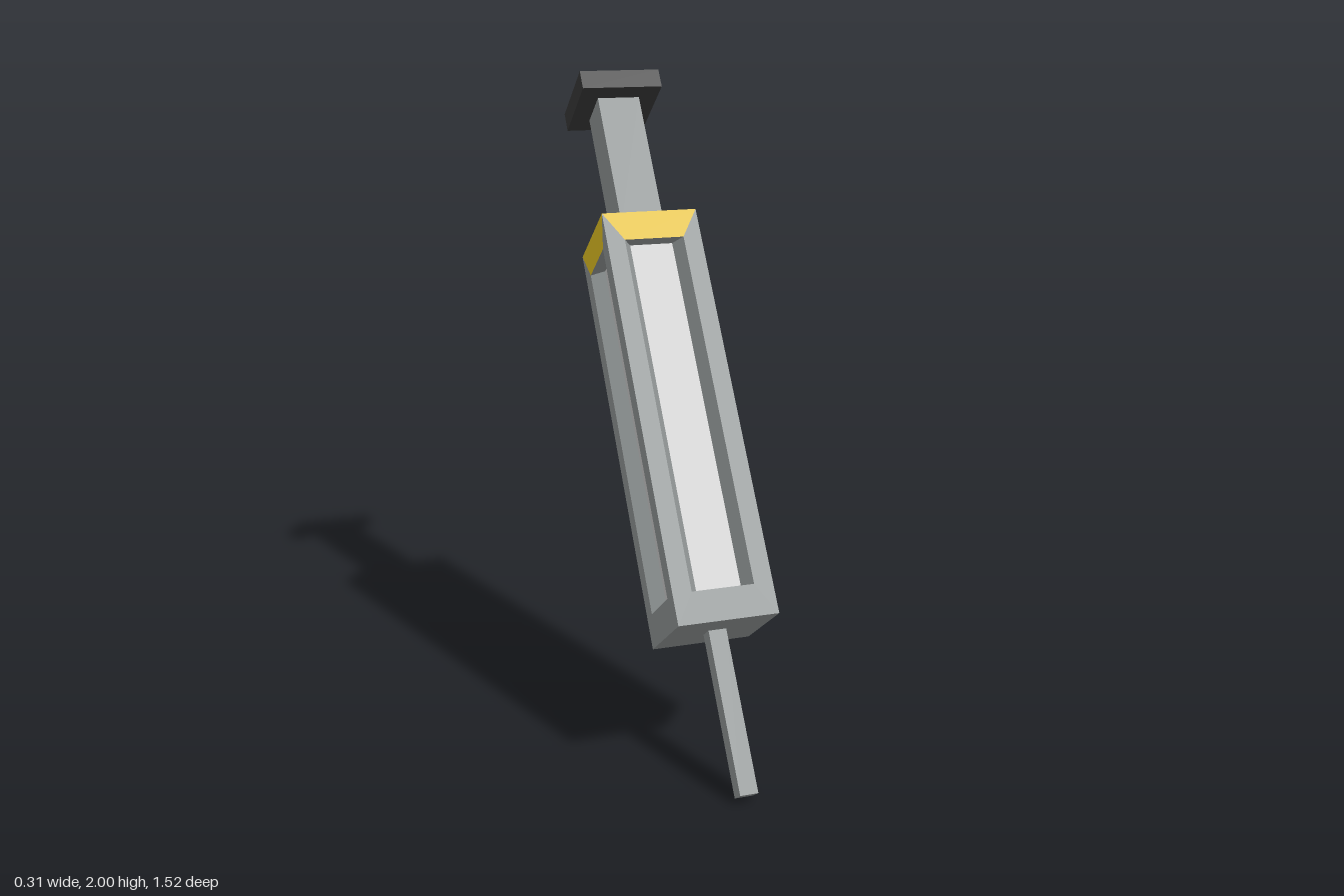
import * as THREE from 'three';

const material = (color) => new THREE.MeshStandardMaterial({ color, flatShading: true });

// Flat-shaded geometry from a list of quads, corners counter-clockwise
function quads(list) {
  const pos = [];
  for (const [a, b, c, d] of list) pos.push(...a, ...b, ...c, ...a, ...c, ...d);
  const g = new THREE.BufferGeometry();
  g.setAttribute('position', new THREE.Float32BufferAttribute(pos, 3));
  g.computeVertexNormals();
  return g;
}

// Rectangle loop on a side face: lower left, lower right, upper right, upper left
const loop = (half, y0, y1, z) => [[-half, y0, z], [half, y0, z], [half, y1, z], [-half, y1, z]];

// The four quads between an outer and an inner loop: bottom, right, top, left
const ring = (o, i) => o.map((p, k) => [p, o[(k + 1) % 4], i[(k + 1) % 4], i[k]]);

export function createModel() {
  const model = new THREE.Group();
  const syringe = new THREE.Group();
  syringe.name = 'syringe';
  model.add(syringe);

  const steel = material(0x8f9494);
  const glass = material(0xc8c8c8);
  const yellow = material(0xe3c023);
  const black = material(0x383838);

  const add = (parent, name, geometry, mat) => {
    const mesh = new THREE.Mesh(geometry, mat);
    mesh.name = name;
    parent.add(mesh);
    return mesh;
  };
  const bar = (name, width, y0, y1, mat) => {
    add(syringe, name, new THREE.BoxGeometry(width, y1 - y0, width), mat).position.y = (y0 + y1) / 2;
  };

  // Square barrel: four framed sides, each with a recessed window
  const H = 0.156, L = 1.334, margin = 0.096, depth = 0.043;
  const outer = loop(H, 0, L, H);
  const opening = loop(0.097, margin, L - margin, H);
  const pane = loop(0.07, margin, L - margin, H - depth);
  const [bottom, right, top, left] = ring(outer, opening);
  const frameGeo = quads([bottom, right, left, ...ring(opening, pane)]);
  const bandGeo = quads([top]);
  const paneGeo = quads([pane]);

  const barrel = new THREE.Group();
  barrel.name = 'barrel';
  syringe.add(barrel);
  for (let k = 0; k < 4; k++) {
    const side = new THREE.Group();
    side.name = 'barrelSide';
    side.rotation.y = k * Math.PI / 2;
    add(side, 'frame', frameGeo, steel);
    add(side, 'topBand', bandGeo, yellow);
    add(side, 'windowPane', paneGeo, glass);
    barrel.add(side);
  }
  // Barrel ends
  add(barrel, 'barrelEnds', quads([
    [[-H, L, H], [H, L, H], [H, L, -H], [-H, L, -H]],
    [[-H, 0, -H], [H, 0, -H], [H, 0, H], [-H, 0, H]],
  ]), steel);

  // Needle, plunger rod and thumb pad
  bar('needle', 0.056, -0.487, 0, steel);
  bar('plungerRod', 0.142, L, 1.803, steel);
  bar('thumbPad', 0.27, 1.803, 1.868, black);

  // Lean back, needle tip to the front
  syringe.rotation.x = -THREE.MathUtils.degToRad(36.2);
  syringe.position.set(0, 0.412, 0.455);
  return model;
}
